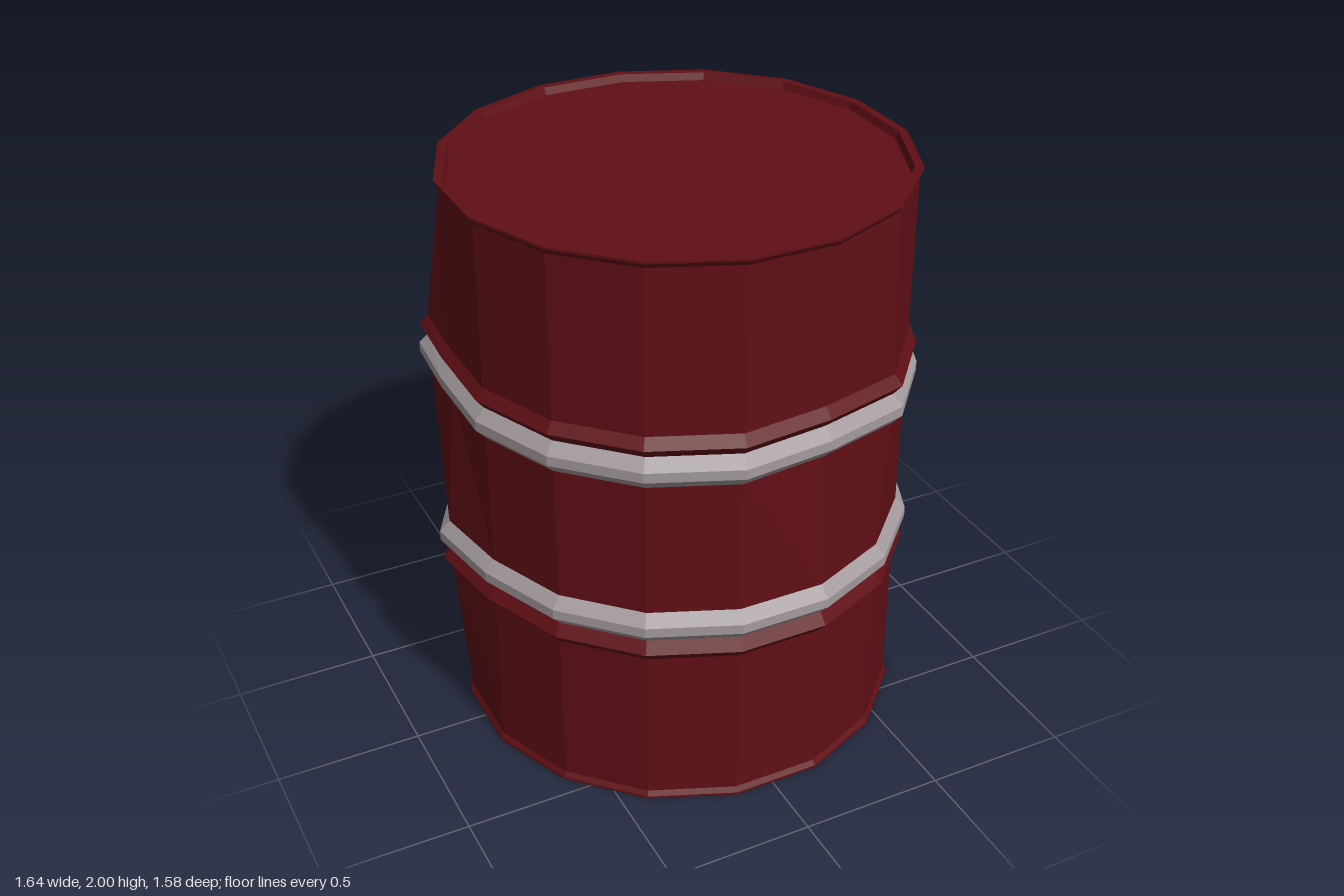
import * as THREE from 'three';

const SIDES = 16;
const CENTRE_X = 0.015;

// Dents: column number -> [dx, dy, dz], one set around each hoop
const DENTS = {
  lower: {
    8: [-0.05, 0, 0.02], 11: [0, -0.015, -0.02], 12: [0, -0.015, -0.02],
    14: [0.02, 0, -0.03], 15: [0.02, 0, -0.02],
  },
  upper: {
    0: [0, 0.025, -0.02], 2: [0.02, 0, 0.01], 3: [0, 0, -0.03], 9: [-0.1, 0, 0.03],
    11: [0, -0.01, -0.02], 12: [0, -0.01, -0.02], 14: [0.02, 0, -0.03], 15: [0.025, 0.025, -0.02],
  },
};

// One vertex of a ring [radius, height, dent set]
function ringPoint([r, y, level], k) {
  const a = ((k % SIDES) + 0.5) * (2 * Math.PI / SIDES);
  const [dx, dy, dz] = DENTS[level]?.[k % SIDES] ?? [0, 0, 0];
  return [CENTRE_X + r * Math.cos(a) + dx, y + dy, r * Math.sin(a) + dz];
}

// Faceted skin through rings; a ring of radius 0 closes an end
function skin(name, rings, material) {
  const pos = [];
  for (let i = 0; i < rings.length - 1; i++) {
    for (let k = 0; k < SIDES; k++) {
      const a = ringPoint(rings[i], k), b = ringPoint(rings[i], k + 1);
      const c = ringPoint(rings[i + 1], k + 1), d = ringPoint(rings[i + 1], k);
      if (rings[i + 1][0] > 0) pos.push(...a, ...d, ...c);
      if (rings[i][0] > 0) pos.push(...a, ...c, ...b);
    }
  }
  const geometry = new THREE.BufferGeometry();
  geometry.setAttribute('position', new THREE.Float32BufferAttribute(pos, 3));
  geometry.computeVertexNormals();
  const mesh = new THREE.Mesh(geometry, material);
  mesh.name = name;
  return mesh;
}

export function createModel() {
  const paint = new THREE.MeshStandardMaterial({ color: 0x600f15, flatShading: true });
  const steel = new THREE.MeshStandardMaterial({ color: 0xa39a9d, flatShading: true });
  const R = 0.762, RIM = 0.774, RIB = 0.79, HOOP = 0.797;

  const group = new THREE.Group();
  group.name = 'barrel';

  // Lower drum: recessed base, rim, wall and pressed rib
  group.add(skin('lowerDrum', [
    [0, 0.025], [0.735, 0.025], [0.745, 0], [RIM, 0], [RIM, 0.008], [R, 0.025],
    [R, 0.585, 'lower'], [RIB, 0.62, 'lower'], [R, 0.66, 'lower'],
  ], paint));

  // Middle wall between the hoops
  group.add(skin('middleDrum', [[R, 0.77, 'lower'], [R, 1.24, 'upper']], paint));

  // Upper drum: pressed rib, wall, rim and recessed lid
  group.add(skin('upperDrum', [
    [R, 1.35, 'upper'], [RIB, 1.385, 'upper'], [R, 1.42, 'upper'],
    [R, 1.975], [RIM, 1.992], [RIM, 2], [0.745, 2], [0.735, 1.975], [0, 1.975],
  ], paint));

  // Steel hoops
  for (const [level, y] of [['lower', 0.66], ['upper', 1.24]]) {
    group.add(skin(level + 'Hoop', [
      [R, y, level], [HOOP, y + 0.038, level], [HOOP, y + 0.072, level], [R, y + 0.11, level],
    ], steel));
  }
  return group;
}
